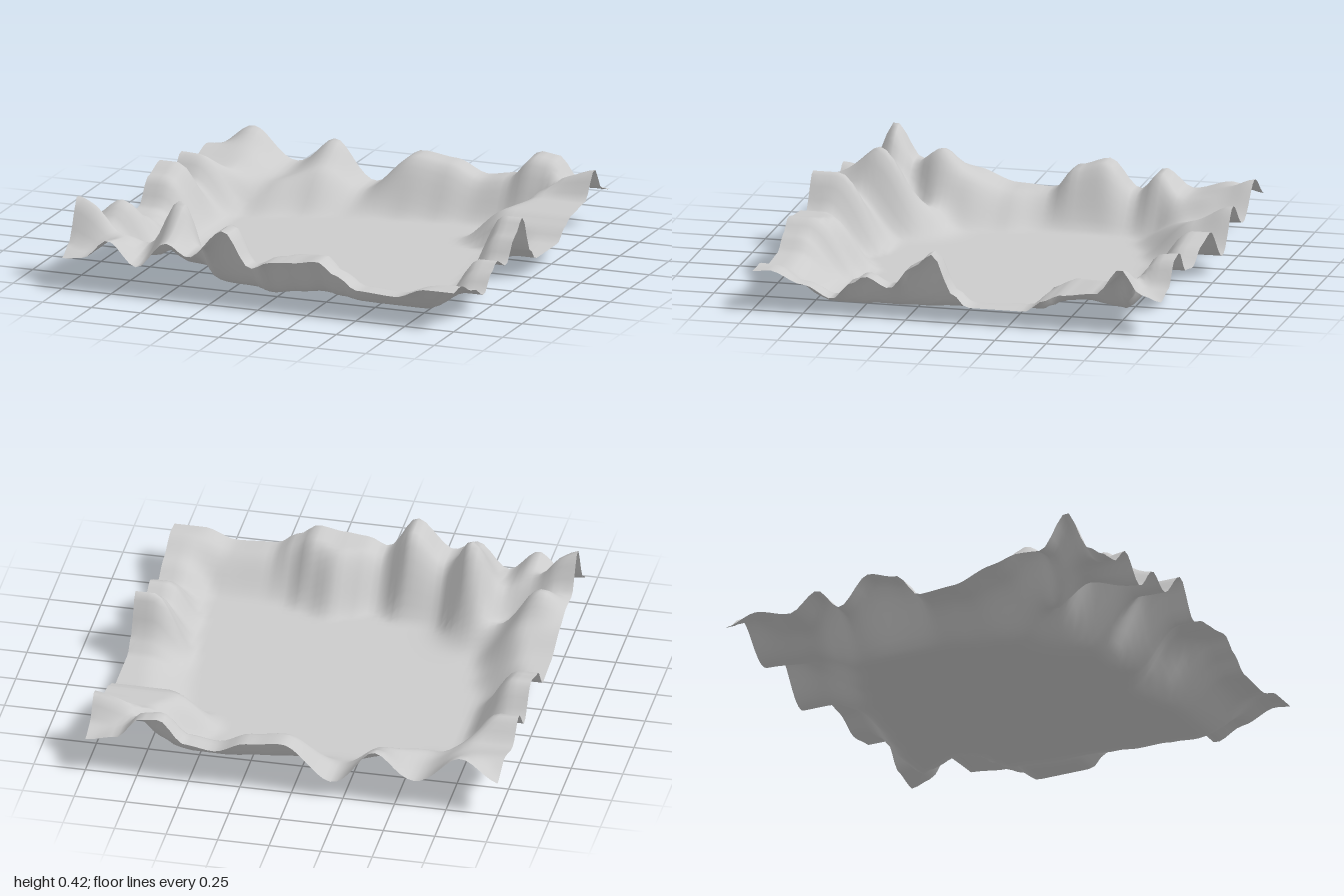
import * as THREE from 'three';

// Rim of each side: [position along the side, rim height, width of the slope down to the basin]
const BACK = [[-1, .16, .58], [-.82, .18, .58], [-.6, .13, .55], [-.4, .17, .46], [-.2, .08, .4], [.05, .26, .35],
  [.22, .24, .32], [.38, .18, .29], [.52, .2, .29], [.65, .32, .3], [.74, .31, .3], [.85, .2, .35], [1, .17, .4]];
const FRONT = [[-1, .15, .5], [-.9, .16, .5], [-.77, .26, .5], [-.62, .14, .5], [-.47, .27, .48], [-.36, .22, .4],
  [-.18, .37, .39], [-.04, .2, .32], [.06, .24, .38], [.17, .25, .43], [.3, .27, .38], [.4, .21, .34], [.5, .15, .34],
  [.7, .14, .34], [.85, .19, .35], [1, .19, .35]];
const LEFT = [[-1, .17, .5], [-.9, .2, .5], [-.8, .32, .4], [-.68, .19, .5], [-.5, .17, .58], [-.43, .14, .56],
  [-.33, .08, .38], [-.05, .08, .34], [.02, .14, .32], [.12, .33, .3], [.22, .26, .28], [.33, .15, .27],
  [.45, .2, .27], [.52, .16, .25], [.61, .08, .25], [.75, .14, .28], [.92, .2, .35], [1, .19, .35]];
const RIGHT = [[-1, .16, .5], [-.84, .22, .5], [-.66, .18, .45], [-.52, .27, .36], [-.4, .16, .32], [-.25, .3, .31],
  [-.1, .26, .32], [.02, .14, .33], [.2, .15, .39], [.4, .21, .43], [.55, .22, .42], [.66, .23, .36], [.8, .41, .34], [.92, .2, .34], [1, .15, .34]];

// Knolls on top of the rim heights: x, z, height, radius in x, radius in z
const KNOLLS = [[-.52, .71, .19, .11, .17], [-.6, .53, .07, .1, .09], [-.88, .54, .11, .1, .1],
  [-.82, -1, .11, .13, .14], [-.4, -1, .1, .11, .14]];

// Eased interpolation along a rim
function sample(rim, t) {
  let i = 1;
  while (i < rim.length - 1 && t > rim[i][0]) i++;
  const a = rim[i - 1], b = rim[i];
  const k = THREE.MathUtils.smoothstep(t, a[0], b[0]);
  return [a[1] + (b[1] - a[1]) * k, a[2] + (b[2] - a[2]) * k];
}

// Each side raises the ground near it; the nearest side counts most
function groundHeight(x, z) {
  const sides = [[BACK, x, 1 + z], [FRONT, x, 1 - z], [LEFT, z, 1 - x], [RIGHT, z, 1 + x]];
  let sum = 0, total = 0;
  for (const [rim, along, distance] of sides) {
    const [height, width] = sample(rim, along);
    const shelf = Math.max(.09, width - .26);
    const rise = 1 - THREE.MathUtils.smoothstep(distance, shelf, width);
    const weight = (rise + .02) / (distance + .02) ** 2;
    sum += weight * height * rise;
    total += weight;
  }
  let y = sum / total;
  for (const [cx, cz, h, rx, rz] of KNOLLS) {
    y += h * Math.exp(-(((x - cx) / rx) ** 2) - ((z - cz) / rz) ** 2);
  }
  return y;
}

export function createModel() {
  const group = new THREE.Group();
  group.name = 'terrain';

  // Open sheet of ground: flat basin ringed by hills
  const geometry = new THREE.PlaneGeometry(2, 2, 64, 64).rotateX(-Math.PI / 2);
  const p = geometry.attributes.position;
  for (let i = 0; i < p.count; i++) p.setY(i, groundHeight(p.getX(i), p.getZ(i)));
  geometry.computeVertexNormals();
  geometry.computeBoundingBox();
  geometry.translate(0, -geometry.boundingBox.min.y, 0);

  const ground = new THREE.Mesh(geometry, new THREE.MeshStandardMaterial({ color: 0xcccccc, side: THREE.DoubleSide }));
  ground.name = 'basinAndHills';
  group.add(ground);
  return group;
}
